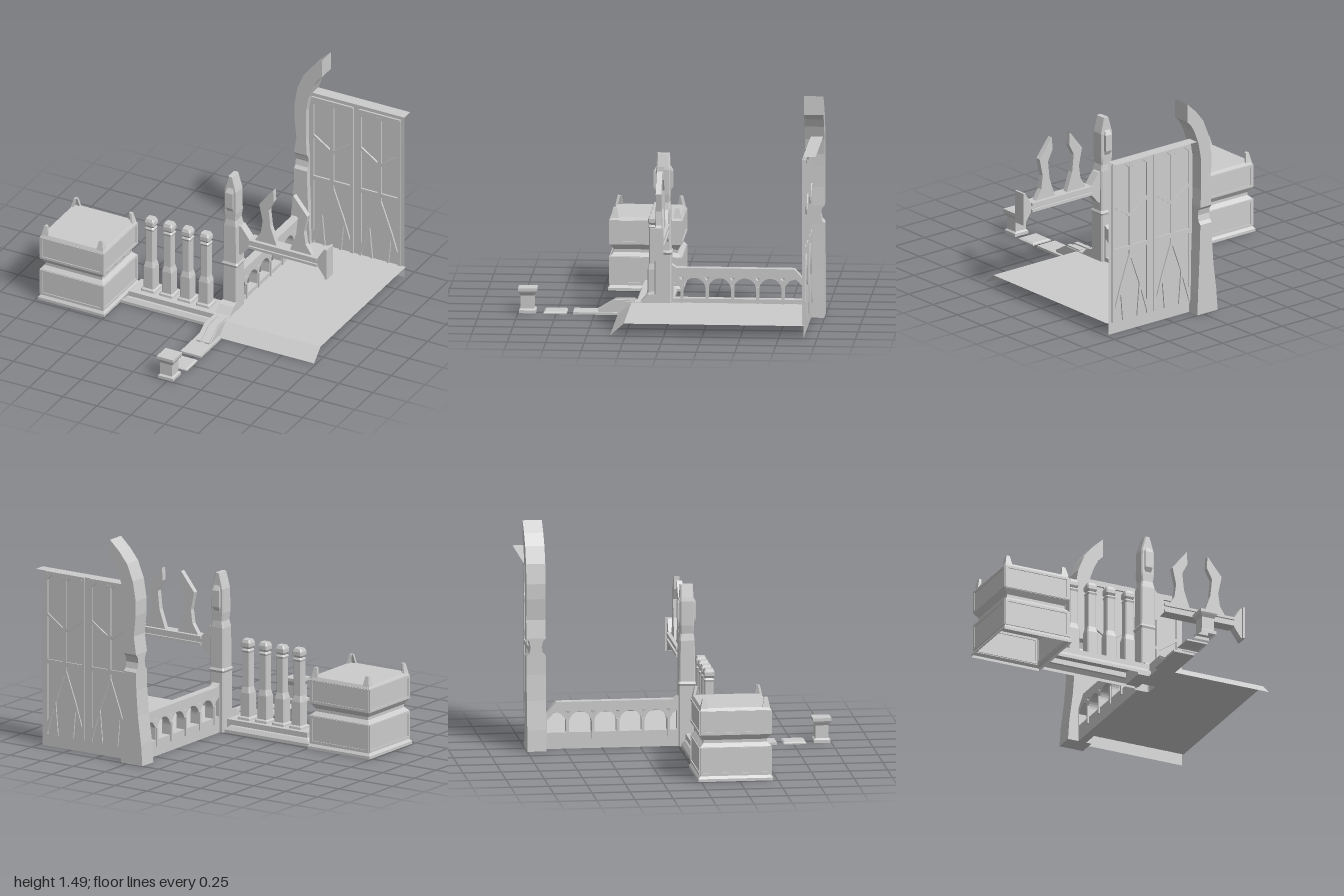
import * as THREE from 'three';

const material = new THREE.MeshStandardMaterial({ color: 0xcccccc, flatShading: true, side: THREE.DoubleSide });

export function createModel() {
  const root = new THREE.Group();
  const add = (name, geometry, x = 0, y = 0, z = 0, parent = root) => {
    const mesh = new THREE.Mesh(geometry, material);
    mesh.name = name;
    mesh.position.set(x, y, z);
    parent.add(mesh);
    return mesh;
  };
  const group = (name) => {
    const g = new THREE.Group();
    g.name = name;
    root.add(g);
    return g;
  };
  // Box given by its limits on each axis
  const block = (name, [x0, x1], [y0, y1], [z0, z1], parent = root) =>
    add(name, new THREE.BoxGeometry(x1 - x0, y1 - y0, z1 - z0), (x0 + x1) / 2, (y0 + y1) / 2, (z0 + z1) / 2, parent);

  // Skin over rings of equal length, with the last ring (and maybe the first) capped
  const skin = (rings, capBottom) => {
    const out = [];
    const n = rings[0].length;
    for (let r = 0; r + 1 < rings.length; r++) {
      for (let i = 0; i < n; i++) {
        const j = (i + 1) % n;
        const [a, b, c, d] = [rings[r][i], rings[r][j], rings[r + 1][j], rings[r + 1][i]];
        out.push(...a, ...c, ...b, ...a, ...d, ...c);
      }
    }
    const top = rings[rings.length - 1];
    for (let i = 1; i + 1 < n; i++) {
      out.push(...top[0], ...top[i + 1], ...top[i]);
      if (capBottom) out.push(...rings[0][0], ...rings[0][i], ...rings[0][i + 1]);
    }
    const g = new THREE.BufferGeometry();
    g.setAttribute('position', new THREE.Float32BufferAttribute(out, 3));
    g.computeVertexNormals();
    return g;
  };
  // Rectangular turning: rows of [y, half width, half depth], with optional cut corners
  const turned = (rows, cut = 0) => skin(rows.map(([y, w, d = w]) => cut
    ? [[w - cut, y, -d], [w, y, cut - d], [w, y, d - cut], [w - cut, y, d],
      [cut - w, y, d], [-w, y, d - cut], [-w, y, cut - d], [cut - w, y, -d]]
    : [[w, y, -d], [w, y, d], [-w, y, d], [-w, y, -d]]), false);

  const shapeOf = (pts) => new THREE.Shape(pts.map(([x, y]) => new THREE.Vector2(x, y)));
  const extrude = (shape, depth) => new THREE.ExtrudeGeometry(shape, { depth, bevelEnabled: false, curveSegments: 8 });
  // Flat bar between two points of an upright plane
  const bar = (name, [x0, y0], [x1, y1], width, depth, z, parent) => {
    const m = add(name, new THREE.BoxGeometry(Math.hypot(x1 - x0, y1 - y0), width, depth), (x0 + x1) / 2, (y0 + y1) / 2, z, parent);
    m.rotation.z = Math.atan2(y1 - y0, x1 - x0);
  };

  // Square pedestal with a waist, framed faces and corner spikes
  const pedestal = group('pedestal');
  pedestal.position.set(-0.745, 0, 0.225);
  add('pedestalBody', turned([[0, 0.245], [0.018, 0.245], [0.035, 0.232], [0.225, 0.232], [0.25, 0.208], [0.27, 0.208],
    [0.305, 0.232], [0.465, 0.232], [0.485, 0.222]]), 0, 0, 0, pedestal);
  for (let side = 0; side < 4; side++) {
    const face = new THREE.Group();
    face.name = 'pedestalFace';
    face.rotation.y = side * Math.PI / 2;
    pedestal.add(face);
    for (const [low, high] of [[0.04, 0.222], [0.308, 0.463]]) {
      for (const y of [low + 0.008, high - 0.008]) bar('frameRail', [-0.232, y], [0.232, y], 0.016, 0.012, 0.232, face);
      for (const x of [-0.222, 0.222]) bar('frameStile', [x, low], [x, high], 0.02, 0.012, 0.232, face);
    }
    const spike = [[0.48, 0, 0.05], [0.545, 0.015, 0.038]].map(([y, i, w]) =>
      [[0.228 - i, y, 0.228 - w], [0.228 - i, y, 0.228 - i], [0.228 - w, y, 0.228 - i],
        [0.228 - w, y, 0.212 - i], [0.212 - i, y, 0.212 - i], [0.212 - i, y, 0.228 - w]]);
    add('cornerSpike', skin(spike, false), 0, 0, 0, face);
  }

  // Stepped fence plinth with four balusters
  const fence = group('fence');
  add('fencePlinth', turned([[0, 0.34, 0.118], [0.02, 0.34, 0.118], [0.045, 0.305, 0.1], [0.05, 0.298, 0.09], [0.085, 0.298, 0.09]]),
    -0.155, 0, 0.135, fence);
  block('plinthEnd', [0.1, 0.19], [0, 0.085], [0.045, 0.225], fence);
  for (const x of [-0.335, -0.2, -0.065, 0.07]) {
    add('baluster', turned([[0.085, 0.052], [0.1, 0.05], [0.108, 0.039], [0.265, 0.039], [0.305, 0.03], [0.535, 0.03],
      [0.548, 0.034], [0.56, 0.026], [0.575, 0.035], [0.6, 0.035], [0.62, 0.027]], 0.007), x, 0, 0.13, fence);
  }

  // Gate column in front, with a pointed head
  const column = group('gateColumn');
  add('columnShaft', turned([[0, 0.053, 0.055], [0.4, 0.053, 0.055], [0.415, 0.06, 0.06], [0.43, 0.053, 0.052], [0.7, 0.051, 0.05],
    [0.745, 0.041, 0.044], [0.8, 0.048, 0.046], [0.96, 0.046, 0.046], [0.985, 0.04, 0.044], [1.065, 0.018, 0.042]], 0.008),
  0.232, 0, 0.055, column);
  add('headBoss', turned([[0.8, 0.02, 0.04], [0.84, 0.026, 0.062], [0.95, 0.026, 0.062], [0.99, 0.016, 0.04]]), 0.232, 0, 0.055, column);

  // Profiles drawn along -z are turned to run back from the front
  const along = (name, pts, x0, x1, holes = []) => {
    const shape = shapeOf(pts);
    shape.holes.push(...holes);
    add(name, extrude(shape, x1 - x0), x0).rotation.y = Math.PI / 2;
  };
  // Sloping buttress, ground tiles and bollard
  along('buttress', [[-0.47, 0], [-0.47, 0.018], [-0.36, 0.085], [-0.2, 0.085], [-0.155, 0.13], [-0.1, 0.14], [-0.1, 0]], 0.18, 0.285);
  for (const x of [0.187, 0.248]) {
    along('buttressRib', [[-0.48, 0], [-0.48, 0.025], [-0.365, 0.094], [-0.24, 0.094], [-0.24, 0]], x, x + 0.03);
  }
  block('buttressFoot', [0.155, 0.305], [0, 0.015], [0.35, 0.64]);
  add('groundTile', turned([[0, 0.075], [0.008, 0.075], [0.016, 0.065]]), 0.23, 0, 0.757);
  add('bollard', turned([[0, 0.055], [0.02, 0.055], [0.03, 0.044], [0.115, 0.044], [0.135, 0.056], [0.145, 0.061], [0.165, 0.061]]),
    0.234, 0, 0.939);

  // Arcaded side wall
  const holes = [];
  for (let k = 0; k < 4; k++) {
    const u = 0.148 + 0.165 * k;
    const arch = new THREE.Path();
    arch.moveTo(u - 0.073, 0.108);
    arch.lineTo(u + 0.073, 0.108);
    arch.lineTo(u + 0.073, 0.172);
    arch.absarc(u, 0.172, 0.073, 0, Math.PI, false);
    arch.lineTo(u - 0.073, 0.108);
    holes.push(arch);
  }
  const pathOf = (pts) => new THREE.Path(pts.map(([x, y]) => new THREE.Vector2(x, y)));
  for (let k = 0; k < 5; k++) {
    const u = 0.0655 + 0.165 * k;
    holes.push(pathOf([[u - 0.018, 0.248], [u, 0.228], [u + 0.018, 0.248]]));
    block('archPillar', [0.195, 0.27], [0.065, 0.19], [-u - 0.008, -u + 0.008]);
  }
  holes.push(pathOf([[0.008, 0.108], [0.058, 0.108], [0.058, 0.172], [0.04, 0.215], [0.008, 0.24]]));
  holes.push(pathOf([[0.735, 0.108], [0.862, 0.108], [0.862, 0.19], [0.81, 0.244], [0.77, 0.232], [0.735, 0.19]]));
  along('arcadeWall', [[0, 0], [0.88, 0], [0.88, 0.22], [0.8, 0.31], [0.03, 0.31], [0, 0.33]], 0.205, 0.262, holes);

  // Thin floor with a sloping front lip
  const floor = new THREE.PlaneGeometry(0.73, 1.28, 1, 2).rotateX(-Math.PI / 2);
  const fp = floor.attributes.position;
  [[-0.91, 0.08], [0.26, 0.08], [0.35, 0]].forEach(([z, y], row) => {
    for (const i of [row * 2, row * 2 + 1]) fp.setXYZ(i, fp.getX(i), y, z);
  });
  add('floor', floor, 0.62);

  // Curved rear post: rows of left edge, right edge and half depth
  const post = [[0.13, 0, 0.3, 0, 0.063], [0.14, 0.14, 0.295, 0.14, 0.063], [0.165, 0.33, 0.285, 0.33, 0.063],
    [0.178, 0.5, 0.278, 0.5, 0.063], [0.18, 0.62, 0.275, 0.62, 0.063], [0.18, 0.64, 0.275, 0.64, 0.045],
    [0.18, 0.68, 0.275, 0.68, 0.036], [0.18, 0.72, 0.275, 0.72, 0.045], [0.18, 0.74, 0.275, 0.74, 0.063],
    [0.198, 0.86, 0.268, 0.86, 0.063], [0.183, 1, 0.268, 1, 0.063], [0.183, 1.1, 0.27, 1.08, 0.063],
    [0.205, 1.23, 0.288, 1.18, 0.063], [0.25, 1.34, 0.32, 1.27, 0.063], [0.31, 1.415, 0.35, 1.325, 0.063],
    [0.385, 1.485, 0.385, 1.36, 0.063]];
  add('rearPost', skin(post.map(([x0, y0, x1, y1, d]) => [[x1, y1, -d], [x1, y1, d], [x0, y0, d], [x0, y0, -d]]), true), 0, 0, -0.935);

  // Rear gate: thin sheet, top flange and two leaves of raised bars
  const gate = group('rearGate');
  add('gateSheet', new THREE.PlaneGeometry(0.705, 1.2), 0.6225, 0.6, -0.912, gate);
  add('gateTopFlange', new THREE.PlaneGeometry(0.705, 0.08).rotateX(-Math.PI / 2), 0.6225, 1.2, -0.95, gate);
  for (const centre of [0.445, 0.795]) {
    const leaf = new THREE.Group();
    leaf.name = 'gateLeaf';
    leaf.position.set(centre, 0, -0.91);
    gate.add(leaf);
    const strip = (a, b, w = 0.02) => bar('leafBar', a, b, w, 0.022, 0, leaf);
    strip([-0.15, 1.165], [0.15, 1.165]);
    strip([-0.15, 0.57], [0.15, 0.57], 0.03);
    strip([0, 0.5], [0, 1.165], 0.025);
    for (const s of [-1, 1]) {
      strip([s * 0.145, 0.08], [s * 0.145, 1.17]);
      strip([s * 0.145, 1.125], [s * 0.105, 1.165]);
      strip([s * 0.015, 1.135], [s * 0.04, 1.165]);
      strip([s * 0.145, 0.89], [0, 0.79]);
      strip([0, 0.53], [s * 0.08, 0.31]);
      strip([s * 0.08, 0.31], [s * 0.145, 0.1]);
      strip([s * 0.06, 0.08], [s * 0.08, 0.31], 0.015);
    }
  }

  // Front crossbeam with flared ends and a pair of horns
  const beam = group('crossbeam');
  add('beam', extrude(shapeOf([[0.28, 0.49], [0.3, 0.49], [0.36, 0.56], [0.865, 0.56], [0.915, 0.49], [0.935, 0.49],
    [0.935, 0.7], [0.915, 0.7], [0.865, 0.62], [0.36, 0.62], [0.3, 0.7], [0.28, 0.7]]), 0.06), 0, 0, 0.018, beam);
  for (const y of [0.568, 0.612]) bar('beamEdge', [0.36, y], [0.865, y], 0.018, 0.085, 0.048, beam);
  block('beamEndPlate', [0.925, 0.94], [0.485, 0.705], [0.005, 0.092], beam);
  const horn = [[-0.21, 0.62], [-0.165, 0.69], [-0.152, 0.78], [-0.178, 0.9], [-0.075, 1.03], [-0.07, 0.945],
    [-0.108, 0.87], [-0.095, 0.75], [-0.05, 0.62]];
  for (const s of [-1, 1]) {
    const pts = horn.map(([x, y]) => [-s * x, y]);
    add('horn', extrude(shapeOf(pts), 0.036), 0.605, 0, 0.03, beam);
  }
  return root;
}
